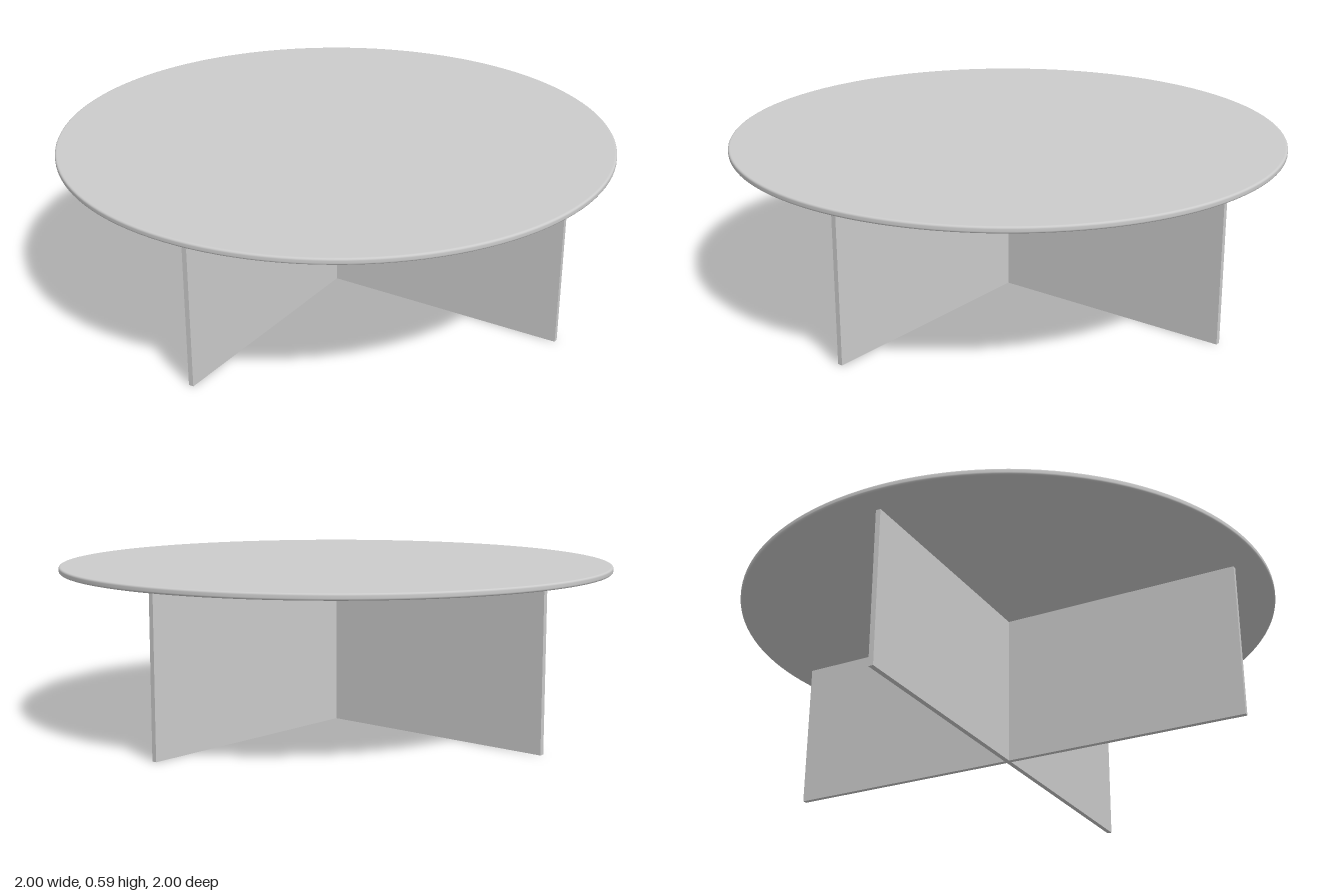
import * as THREE from 'three';

const TOP = 0.587, UNDER = 0.565, THICK = 0.018, REACH = 0.9;

export function createModel() {
  const group = new THREE.Group();
  const material = new THREE.MeshStandardMaterial({ color: 0xcccccc });

  const add = (name, geometry, x, y, z) => {
    const mesh = new THREE.Mesh(geometry, material);
    mesh.name = name;
    mesh.position.set(x, y, z);
    group.add(mesh);
  };

  // Round top: thin disc with a softly rounded rim, turned from bottom to top
  const r = 0.007, profile = [new THREE.Vector2(0, UNDER), new THREE.Vector2(0.99, UNDER)];
  const round = (cy, start) => {
    for (let i = 0; i <= 4; i++) {
      const a = start + (i / 4) * Math.PI / 2;
      profile.push(new THREE.Vector2(1 - r + r * Math.cos(a), cy + r * Math.sin(a)));
    }
  };
  round(UNDER + r, -Math.PI / 2);
  round(TOP - r, 0);
  profile.push(new THREE.Vector2(0.99, TOP), new THREE.Vector2(0, TOP));
  add('tableTop', new THREE.LatheGeometry(profile, 128), 0, 0, 0);

  // Crossed base: one full panel along x, two half panels along z
  add('crossPanel', new THREE.BoxGeometry(REACH * 2, UNDER, THICK), 0, UNDER / 2, 0);
  const half = REACH - THICK / 2;
  for (const [name, side] of [['frontPanel', 1], ['backPanel', -1]]) {
    add(name, new THREE.BoxGeometry(THICK, UNDER, half), 0, UNDER / 2, side * (THICK / 2 + half / 2));
  }
  return group;
}
